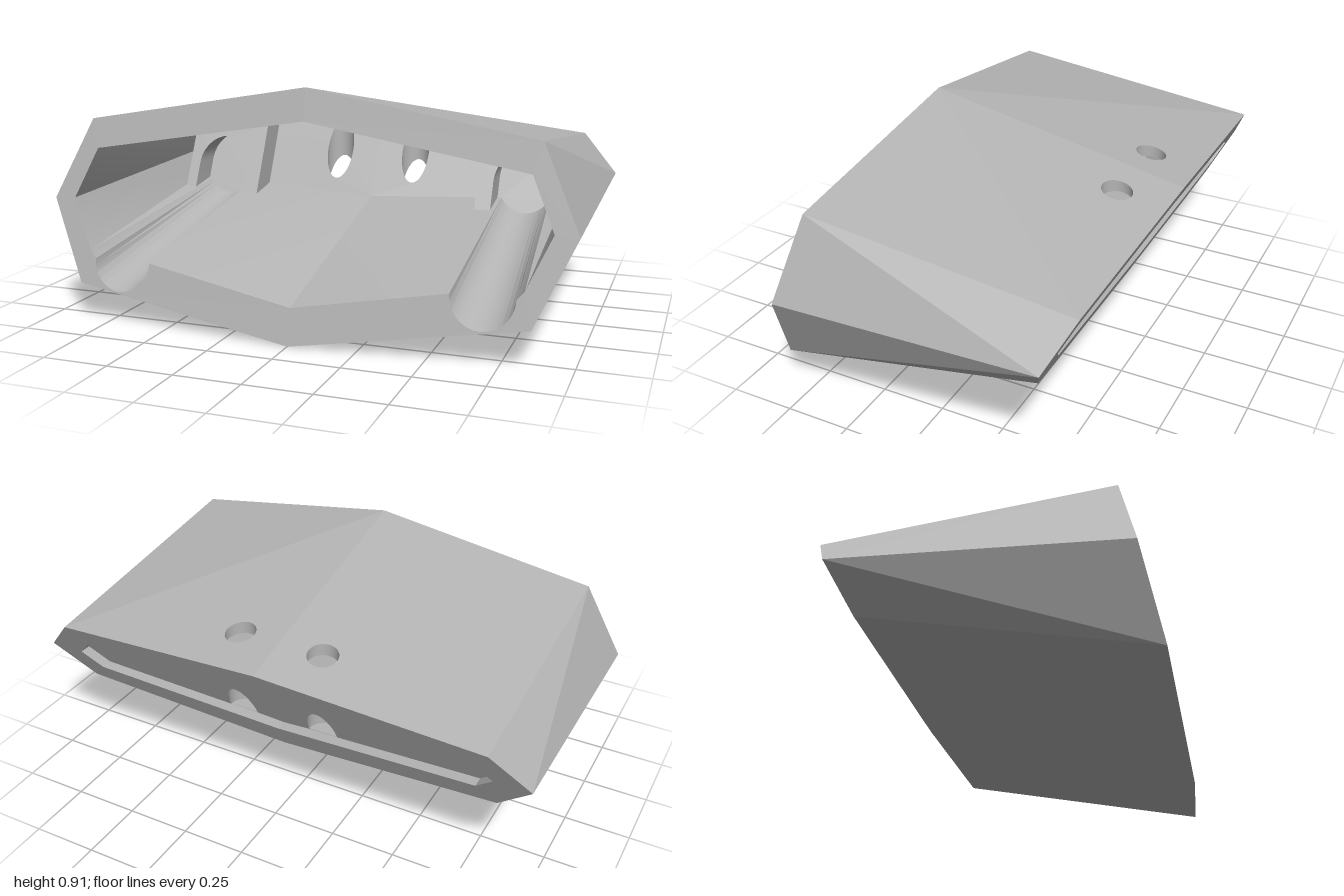
import * as THREE from 'three';
import { toCreasedNormals } from 'three/addons/utils/BufferGeometryUtils.js';

const V2 = (p) => new THREE.Vector2(p[0], p[1]);

// Tilted planes: depth as a function of height
const frontZ = (y) => 0.42 + (0.91 - y) * 0.2155;
const backZ = (y) => -0.515 - (y - 0.5) * 0.48;
const wallZ = (y) => -0.49 + (0.7 - y) * 0.48;
const plateZ = (y) => -0.47 - (y - 0.5) * 0.48;
const place = (pts, zOf) => pts.map(([x, y]) => new THREE.Vector3(x, y, zOf(y)));

// Vertical hole near the back
const HOLE = { x: 0.17, z: -0.42, r: 0.058 };

function arc(cx, cy, rx, ry, a0, a1, n = 14) {
  return Array.from({ length: n + 1 }, (_, i) => {
    const a = a0 + (a1 - a0) * i / n;
    return [cx + rx * Math.cos(a), cy + ry * Math.sin(a)];
  });
}

// Surface between two matching rows of points; flips lists strips cut along the other diagonal
function loft(a, b, first = 0, flips = []) {
  const pos = [];
  for (let i = first; i < a.length - 1; i++) {
    const q = flips.includes(i)
      ? [a[i], a[i + 1], b[i], a[i + 1], b[i + 1], b[i]]
      : [a[i], a[i + 1], b[i + 1], a[i], b[i + 1], b[i]];
    q.forEach((p) => pos.push(p.x, p.y, p.z));
  }
  const g = new THREE.BufferGeometry();
  g.setAttribute('position', new THREE.Float32BufferAttribute(pos, 3));
  g.computeVertexNormals();
  return g;
}

// Flat polygon laid on a tilted plane
function panel(pts, zOf, hole) {
  const s = new THREE.Shape(pts.map(V2));
  if (hole) s.holes.push(new THREE.Path(hole.map(V2)));
  const g = new THREE.ShapeGeometry(s);
  const p = g.attributes.position;
  for (let i = 0; i < p.count; i++) p.setZ(i, zOf(p.getY(i)));
  g.computeVertexNormals();
  return g;
}

// Height of the plane through three points, as a function of x and z
function planeY(a, b, c) {
  const n = b.clone().sub(a).cross(c.clone().sub(a));
  return (x, z) => a.y - (n.x * (x - a.x) + n.z * (z - a.z)) / n.y;
}

// Triangle drawn in plan with the round hole cut out
function holedTriangle(a, b, c) {
  const s = new THREE.Shape([a, b, c].map((v) => new THREE.Vector2(v.x, v.z)));
  s.holes.push(new THREE.Path(arc(HOLE.x, HOLE.z, HOLE.r, HOLE.r, 0, 2 * Math.PI, 32).slice(0, -1).map(V2)));
  const g = new THREE.ShapeGeometry(s);
  const p = g.attributes.position, f = planeY(a, b, c);
  for (let i = 0; i < p.count; i++) {
    const x = p.getX(i), z = p.getY(i);
    p.setXYZ(i, x, f(x, z), z);
  }
  g.computeVertexNormals();
  return g;
}

// Hole wall between two height functions
function bore(topY, bottomY) {
  const c = arc(HOLE.x, HOLE.z, HOLE.r, HOLE.r, 0, 2 * Math.PI, 32);
  const row = (f) => c.map(([x, z]) => new THREE.Vector3(x, f(x, z), z));
  return toCreasedNormals(loft(row(topY), row(bottomY)), 0.5);
}

export function createModel() {
  const grey = new THREE.MeshStandardMaterial({ color: 0xb4b4b4, side: THREE.DoubleSide });
  grey.name = 'grey';
  const half = new THREE.Group();
  half.name = 'leftHalf';
  const add = (name, geo) => {
    const m = new THREE.Mesh(geo, grey);
    m.name = name;
    half.add(m);
  };

  // Half contours, from top centre round to bottom centre
  const outerFront = [[0, 0.91], [0.86, 0.765], [1, 0.46], [0.86, 0.15], [0, 0.005]];
  const outerBack = [[0, 0.71], [0.86, 0.65], [1, 0.5], [0.86, 0.355], [0, 0.29]];
  const innerFront = [[0, 0.79], [0.83, 0.655], [0.915, 0.465], [0.83, 0.275],
    ...arc(0.69, 0.245, 0.115, 0.115, 0, -Math.PI), [0, 0.14]];
  const innerBack = [[0, 0.7], [0.82, 0.635], [0.86, 0.515], [0.82, 0.41],
    ...arc(0.66, 0.46, 0.115, 0.115, -0.55, -Math.PI + 0.55), [0, 0.37]];
  const recess = [[0, 0.615], [0.79, 0.57], [0.86, 0.5], [0.79, 0.43], [0, 0.385]];
  const of = place(outerFront, frontZ), ob = place(outerBack, backZ);
  const inf = place(innerFront, frontZ), inb = place(innerBack, wallZ);

  // Outer shell
  add('roofBack', holedTriangle(of[0], ob[0], ob[1]));
  add('roofFront', loft([of[0], of[1]], [ob[1], ob[1]]));
  add('sidesAndBottom', loft(of, ob, 1, [2, 3]));

  // Rims at both ends
  add('frontRim', panel([...outerFront, ...[...innerFront].reverse()], frontZ));
  add('backRim', panel([...outerBack, ...[...recess].reverse()], backZ));

  // Cavity with a rounded groove running along the floor
  add('ceilingBack', holedTriangle(inf[0], inb[0], inb[1]));
  add('ceilingFront', loft([inf[0], inf[1]], [inb[1], inb[1]]));
  add('cavityWalls', toCreasedNormals(loft(inf, inb, 1), 0.4));

  // Inner back wall, cut by the vertical hole
  const ry = HOLE.r / 0.48;
  const wallCentre = 0.7 - (HOLE.z + 0.49) / 0.48;
  add('innerWall', panel(innerBack, wallZ,
    arc(HOLE.x, wallCentre, HOLE.r, ry, 0, 2 * Math.PI, 32).slice(0, -1)));

  // Recessed back plate with an arched opening
  add('recessEdge', loft(place(recess, backZ), place(recess, plateZ)));
  const arch = arc(HOLE.x, 0.396, HOLE.r, ry, 0, Math.PI, 18);
  add('backPlate', panel([...recess.slice(0, 4), ...arch, recess[4]], plateZ));

  // Hole walls through the roof and the back wall
  const floorY = 0.4;
  add('roofHole', bore(planeY(of[0], ob[0], ob[1]), planeY(inf[0], inb[0], inb[1])));
  add('wallHole', bore((x, z) => 0.7 - (z + 0.49) / 0.48,
    (x, z) => Math.max(floorY, 0.5 - (z + 0.47) / 0.48)));
  const sill = new THREE.CircleGeometry(HOLE.r, 20, Math.PI, Math.PI);
  sill.rotateX(-Math.PI / 2);
  sill.translate(HOLE.x, floorY, HOLE.z);
  add('holeFloor', sill);

  // Corner block with an arched socket above the groove
  const blockShape = new THREE.Shape([[0.48, 0.36], [0.48, 0.688], [0.82, 0.642], [0.82, 0.36], [0.775, 0.36],
    ...arc(0.66, 0.485, 0.115, 0.115, 0, Math.PI), [0.545, 0.36]].map(V2));
  const block = new THREE.ExtrudeGeometry(blockShape, { depth: 0.13, bevelEnabled: false });
  const bp = block.attributes.position;
  for (let i = 0; i < bp.count; i++) bp.setZ(i, bp.getZ(i) + wallZ(bp.getY(i)));
  add('cornerBlock', toCreasedNormals(block, 0.4));

  // Mirror to the other side
  const other = half.clone();
  other.name = 'rightHalf';
  other.scale.x = -1;
  const model = new THREE.Group();
  model.name = 'hollowHousing';
  model.add(half, other);
  model.position.y = -0.005;
  const root = new THREE.Group();
  root.add(model);
  return root;
}
